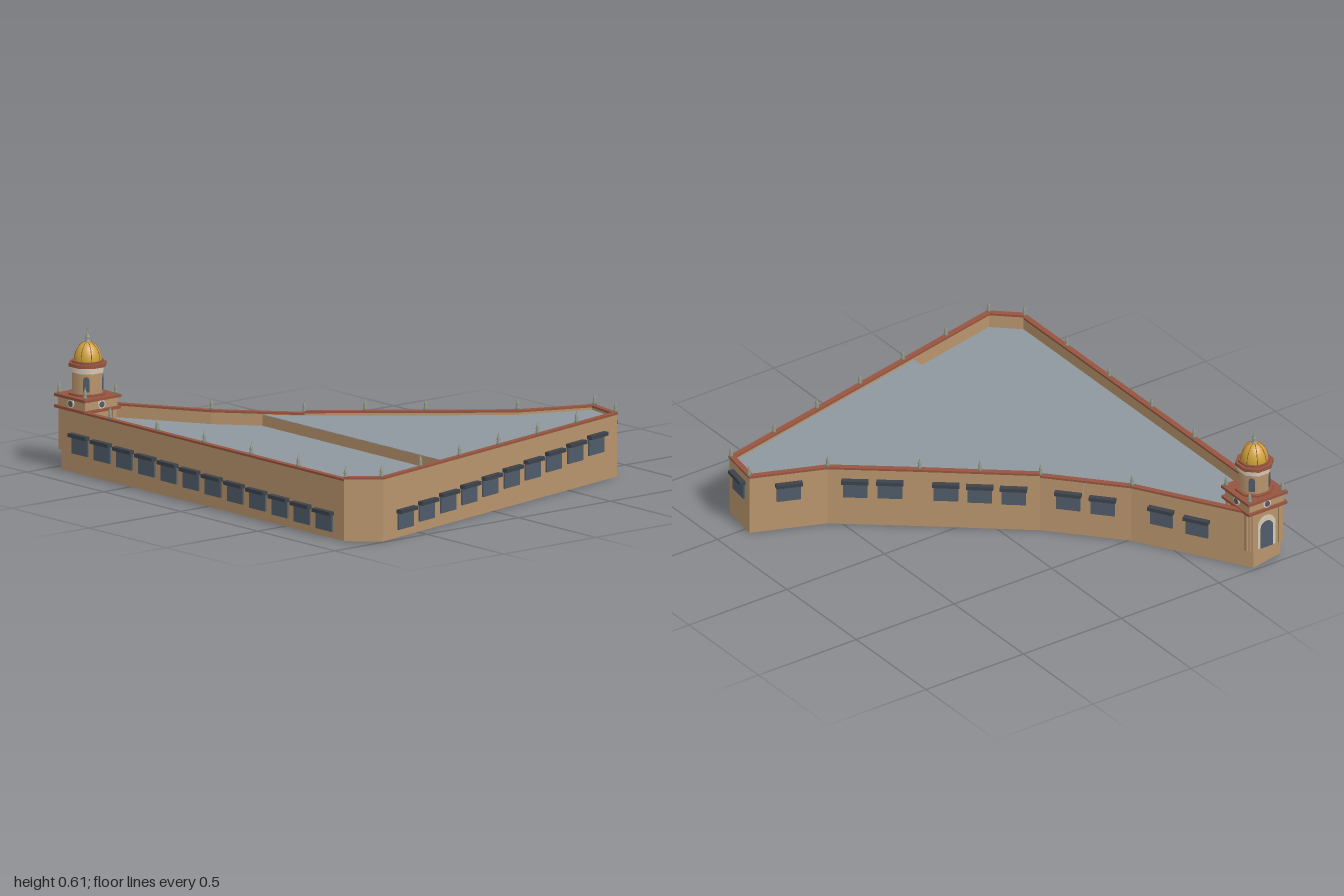
import * as THREE from 'three';

const material = (name, color, extra = {}) => {
  const m = new THREE.MeshStandardMaterial({ color, ...extra });
  m.name = name;
  return m;
};

export function createModel() {
  const model = new THREE.Group();
  model.name = 'cornerBuilding';
  const stone = material('tan stone', 0xb9956d);
  const brick = material('brick red', 0x97553f);
  const slate = material('roof grey', 0x8e989f);
  const glass = material('window glass', 0x505c6a);
  const hoodMat = material('dark hood', 0x3d434b);
  const gold = material('gold', 0xcfa23a);
  const pale = material('pale trim', 0xd8c8b4);
  const verdigris = material('grey green', 0x959a88);

  const add = (parent, name, geometry, mat, x = 0, y = 0, z = 0) => {
    const mesh = new THREE.Mesh(geometry, mat);
    mesh.name = name;
    mesh.position.set(x, y, z);
    parent.add(mesh);
    return mesh;
  };
  const box = (w, h, d) => new THREE.BoxGeometry(w, h, d);
  // Upright prism over a plan outline of [x, z] points
  const prism = (pts, y0, y1) => {
    const shape = new THREE.Shape(pts.map(([x, z]) => new THREE.Vector2(x, -z)));
    return new THREE.ExtrudeGeometry(shape, { depth: y1 - y0, bevelEnabled: false })
      .rotateX(-Math.PI / 2).translate(0, y0, 0);
  };

  // Plan of the building, corner by corner
  const plan = [[-0.95, 0.85], [0.88, 0.85], [0.99, 0.73], [0.65, -0.83], [0.465, -0.86],
    [0.34, -0.55], [0.1, -0.25], [-0.22, 0.14], [-0.51, 0.4], [-0.985, 0.687]];
  const count = plan.length;
  const at = (i) => plan[(i + count) % count];
  const normal = (i) => {
    const [a, b] = [at(i), at(i + 1)];
    const len = Math.hypot(b[0] - a[0], b[1] - a[1]);
    return [-(b[1] - a[1]) / len, (b[0] - a[0]) / len];
  };
  const offset = (i, d) => {
    const [m, n, p] = [normal(i - 1), normal(i), at(i)];
    const k = d / (1 + m[0] * n[0] + m[1] * n[1]);
    return [p[0] + (m[0] + n[0]) * k, p[1] + (m[1] + n[1]) * k];
  };
  const along = (i, t) => at(i).map((v, k) => v + (at(i + 1)[k] - v) * t);
  const wallTop = (i) => (i >= 1 && i <= 6 ? 0.265 : 0.257);

  // Outer walls with a brick coping
  for (let i = 0; i < count; i++) {
    const strip = (outer, inner) => [offset(i, outer), offset(i + 1, outer),
      offset(i + 1, inner), offset(i, inner)];
    add(model, 'wall', prism(strip(0, -0.018), 0, wallTop(i)), stone);
    add(model, 'coping', prism(strip(0.004, -0.021), wallTop(i), wallTop(i) + 0.009), brick);
  }

  // Two roof levels meeting at a low step
  const inset = plan.map((_, i) => offset(i, -0.01));
  const stepEast = [0.882, 0.27], stepWest = [-0.36, 0.27];
  add(model, 'lowerRoof', prism([inset[0], inset[1], inset[2], stepEast, stepWest,
    inset[8], inset[9]], 0.2, 0.206), slate);
  add(model, 'upperRoof', prism([stepEast, inset[3], inset[4], inset[5], inset[6],
    inset[7], stepWest], 0.248, 0.254), slate);
  add(model, 'roofStep', box(1.242, 0.05, 0.008), stone, 0.261, 0.227, 0.267);

  // Windows: [wall, first, last, number, first top, last top]
  const rows = [[0, 0.068, 0.933, 12, 0.168, 0.115], [2, 0.094, 0.908, 10, 0.12, 0.21],
    [3, 0.5, 0.5, 1, 0.23, 0.23], [4, 0.5, 0.5, 1, 0.225, 0.225],
    [5, 0.3, 0.68, 2, 0.22, 0.22], [6, 0.22, 0.78, 3, 0.217, 0.21],
    [7, 0.31, 0.69, 2, 0.205, 0.2], [8, 0.25, 0.54, 2, 0.195, 0.185]];
  for (const [wall, t0, t1, n, y0, y1] of rows) {
    for (let k = 0; k < n; k++) {
      const f = n > 1 ? k / (n - 1) : 0;
      const [x, z] = along(wall, t0 + (t1 - t0) * f);
      const [nx, nz] = normal(wall);
      const win = new THREE.Group();
      win.name = 'window';
      win.position.set(x, y0 + (y1 - y0) * f, z);
      win.rotation.y = Math.atan2(nx, nz);
      add(win, 'pane', box(0.102, 0.074, 0.008), glass, 0, -0.05, 0.004);
      add(win, 'hood', box(0.114, 0.016, 0.026), hoodMat, 0, -0.008, 0.012);
      model.add(win);
    }
  }

  // Finials along the parapet
  const finialGeo = new THREE.LatheGeometry([[0.0001, 0], [0.009, 0], [0.009, 0.012], [0.006, 0.015],
    [0.008, 0.024], [0.005, 0.036], [0.002, 0.044], [0.0001, 0.056]]
    .map(([r, y]) => new THREE.Vector2(r, y)), 8);
  const finial = (parent, x, y, z) => add(parent, 'finial', finialGeo, verdigris, x, y, z);
  const spots = [[6, 0.5]];
  for (let k = 1; k <= 6; k++) spots.push([0, k / 6]);
  for (let k = 0; k <= 6; k++) spots.push([2, k / 6]);
  for (let k = 4; k <= 8; k++) spots.push([k, 0]);
  for (const [wall, t] of spots) {
    const [x, z] = along(wall, t);
    const [nx, nz] = normal(wall);
    finial(model, x - nx * 0.008, wallTop(wall) + 0.008, z - nz * 0.008);
  }

  // Corner tower
  const tower = new THREE.Group();
  tower.name = 'tower';
  tower.position.set(-0.893, 0, 0.757);
  model.add(tower);
  const slab = (name, half, y0, y1, mat) =>
    add(tower, name, box(half * 2, y1 - y0, half * 2), mat, 0, (y0 + y1) / 2, 0);
  const octagon = (name, apothem, y0, y1, mat) => {
    const r = apothem / Math.cos(Math.PI / 8);
    return add(tower, name, new THREE.CylinderGeometry(r, r, y1 - y0, 8, 1, false, Math.PI / 8),
      mat, 0, (y0 + y1) / 2, 0);
  };
  slab('towerBase', 0.086, 0.08, 0.262, stone);
  slab('lowerCornice', 0.099, 0.258, 0.27, brick);
  slab('clockStage', 0.088, 0.27, 0.307, stone);
  slab('upperCornice', 0.1, 0.307, 0.319, brick);
  octagon('drumFoot', 0.076, 0.319, 0.328, brick);
  octagon('drum', 0.062, 0.328, 0.415, stone);
  octagon('drumBand', 0.066, 0.415, 0.44, pale);
  octagon('drumCornice', 0.076, 0.44, 0.455, brick);
  octagon('domeFoot', 0.064, 0.455, 0.464, brick);

  // Arched plate for doors and tower windows
  const arch = (w, h) => {
    const s = new THREE.Shape();
    s.moveTo(-w / 2, 0).lineTo(w / 2, 0).lineTo(w / 2, h - w / 2);
    s.absarc(0, h - w / 2, w / 2, 0, Math.PI, false);
    s.lineTo(-w / 2, 0);
    return new THREE.ExtrudeGeometry(s, { depth: 0.004, bevelEnabled: false, curveSegments: 8 });
  };
  for (let k = 0; k < 4; k++) {
    const side = new THREE.Group();
    side.name = 'towerSide';
    side.rotation.y = k * Math.PI / 2;
    tower.add(side);
    const clock = (r, d) => new THREE.CylinderGeometry(r, r, d, 20).rotateX(Math.PI / 2);
    add(side, 'clockRim', clock(0.019, 0.006), pale, 0, 0.288, 0.09);
    add(side, 'clockFace', clock(0.013, 0.006), glass, 0, 0.288, 0.092);
    finial(side, 0.084, 0.319, 0.084);
    if (k > 0) {
      // Doorway with a pair of pilasters
      add(side, 'doorFrame', arch(0.09, 0.15), pale, 0, 0.08, 0.085);
      add(side, 'door', arch(0.062, 0.125), glass, 0, 0.08, 0.088);
      for (const s of [-1, 1]) add(side, 'pilaster', box(0.018, 0.178, 0.012), stone, s * 0.068, 0.169, 0.088);
    }
    const bay = new THREE.Group();
    bay.name = 'drumBay';
    bay.rotation.y = Math.PI / 4;
    side.add(bay);
    add(bay, 'drumWindow', arch(0.026, 0.064), glass, 0, 0.338, 0.061);
  }

  // Ribbed dome
  const domeR = 0.058, domeH = 0.08, domeY = 0.462;
  add(tower, 'dome', new THREE.SphereGeometry(1, 32, 12, 0, Math.PI * 2, 0, Math.PI / 2)
    .scale(domeR, domeH, domeR), gold, 0, domeY, 0);
  const ribCurve = new THREE.CatmullRomCurve3(Array.from({ length: 7 }, (_, i) => {
    const a = i / 6 * Math.PI / 2;
    return new THREE.Vector3(domeR * Math.cos(a), domeH * Math.sin(a), 0);
  }));
  const ribGeo = new THREE.TubeGeometry(ribCurve, 12, 0.0018, 5);
  for (let k = 0; k < 8; k++) {
    add(tower, 'domeRib', ribGeo, brick, 0, domeY, 0).rotation.y = (k + 0.5) * Math.PI / 4;
  }
  // Lantern, spike and crossbar
  add(tower, 'lantern', new THREE.LatheGeometry([[0.0001, 0], [0.013, 0], [0.013, 0.006], [0.008, 0.008],
    [0.008, 0.022], [0.011, 0.024], [0.003, 0.036], [0.0015, 0.066], [0.0001, 0.067]]
    .map(([r, y]) => new THREE.Vector2(r, y)), 10), verdigris, 0, 0.538, 0);
  add(tower, 'crossbar', box(0.016, 0.003, 0.003), verdigris, 0, 0.592, 0);
  return model;
}
